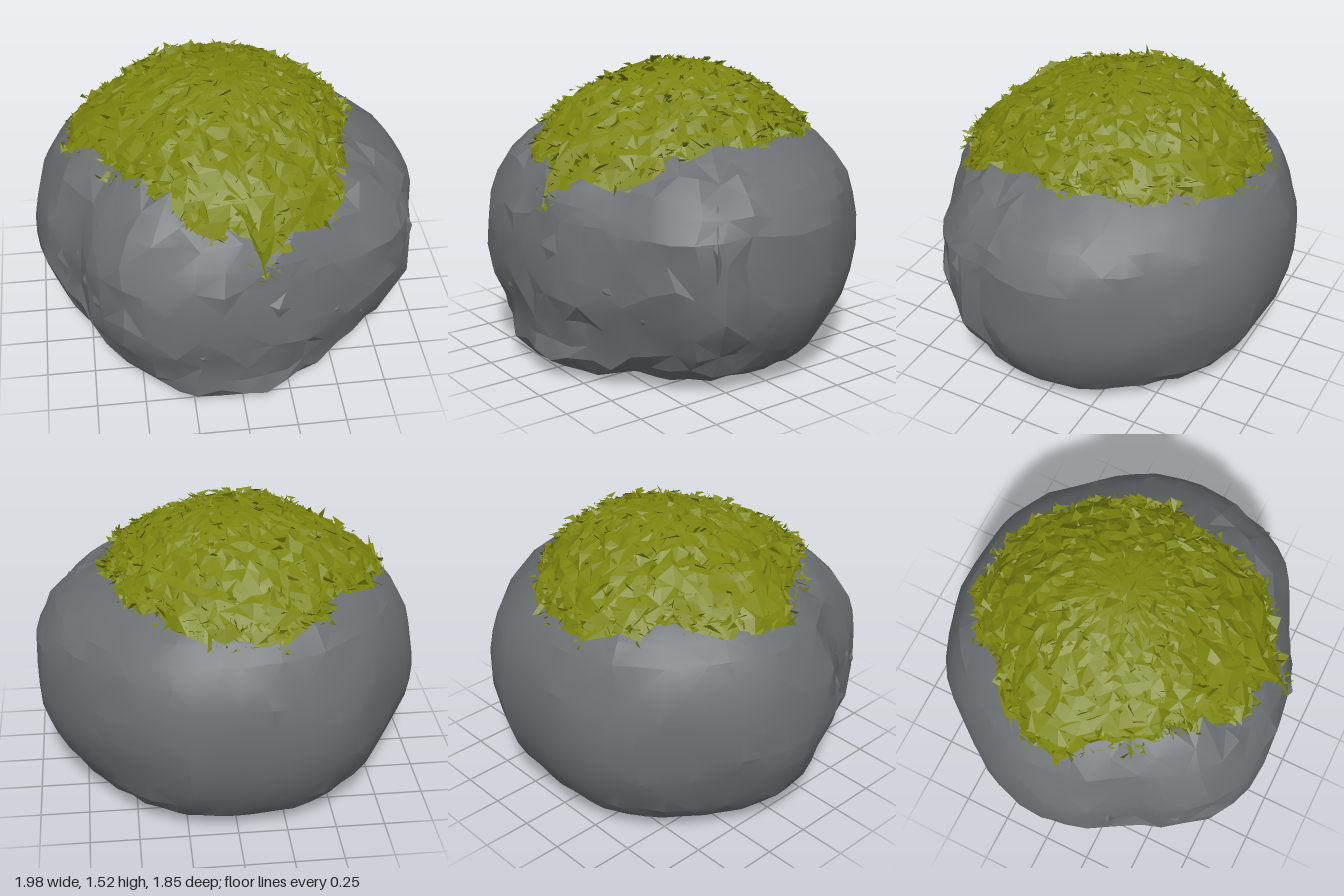
import * as THREE from 'three';
import { toCreasedNormals } from 'three/addons/utils/BufferGeometryUtils.js';

const TAU = Math.PI * 2;

// Plan outlines as x, z pairs
const ROCK_PLAN = [[1, .05], [.97, .2], [.92, .28], [.92, .42], [.85, .5], [.7, .63], [.55, .7], [.4, .8], [.27, .87], [0, .91],
  [-.2, .92], [-.48, .87], [-.63, .77], [-.75, .6], [-.8, .42], [-.83, .38], [-.9, .33], [-.97, .2], [-1, 0], [-.99, -.15],
  [-.83, -.48], [-.6, -.75], [-.45, -.85], [.05, -.92], [.3, -.9], [.42, -.85], [.68, -.65], [.82, -.48], [.93, -.3], [.99, -.1]];
const MOSS_PLAN = [[.57, .15], [.53, .4], [.5, .55], [.36, .68], [.2, .73], [.16, .82], [.08, .87], [.02, .84], [0, .75], [-.2, .76],
  [-.3, .65], [-.45, .5], [-.6, .38], [-.66, .2], [-.81, .05], [-.77, -.2], [-.7, -.32], [-.5, -.45], [-.45, -.6],
  [-.3, -.7], [-.2, -.78], [0, -.76], [.25, -.68], [.38, -.55], [.55, -.35], [.58, -.15], [.64, -.05]];
// Rock profile: height, fraction of the plan radius
const PROFILE = [[.025, 0], [.02, .3], [0, .6], [.05, .72], [.12, .81], [.22, .89], [.33, .945], [.45, .985], [.57, 1], [.7, 1],
  [.82, .98], [.92, .94], [1.02, .875], [1.1, .79], [1.17, .68], [1.25, .54], [1.34, .36], [1.4, .18], [1.42, 0]];
const CROWN_SHIFT = .07; // the crown leans back by this much
const CROWN_TILT = .05; // and slopes down towards +x

function seeded(seed) {
  return () => {
    seed = (seed * 1664525 + 1013904223) % 4294967296;
    return seed / 4294967296;
  };
}

function lookup(table, v) {
  for (let i = 1; i < table.length; i++) {
    if (v <= table[i][0]) {
      const [a, p] = table[i - 1], [b, q] = table[i];
      return p + (q - p) * (v - a) / (b - a || 1);
    }
  }
  return table[table.length - 1][1];
}

// Polar radius of a plan outline as a function of angle
function polar(plan) {
  const pts = plan.map(([x, z]) => [(Math.atan2(z, x) + TAU) % TAU, Math.hypot(x, z)]).sort((a, b) => a[0] - b[0]);
  const first = pts[0], last = pts[pts.length - 1];
  const ring = [[last[0] - TAU, last[1]], ...pts, [first[0] + TAU, first[1]]];
  return (angle) => lookup(ring, ((angle % TAU) + TAU) % TAU);
}

const rockRadius = polar(ROCK_PLAN);
const mossRadius = polar(MOSS_PLAN);
const TOP = PROFILE.slice(9).map(([y, f]) => [f, y]).reverse();
const tilt = (x, y) => -CROWN_TILT * x * THREE.MathUtils.smoothstep(y, .8, 1.15);

// Height of the boulder's crown above a plan position
function rockTop(x, z) {
  const f = Math.hypot(x, z) / rockRadius(Math.atan2(z, x));
  const zc = z + CROWN_SHIFT * Math.max(0, 1 - f);
  const y = lookup(TOP, Math.min(1, Math.hypot(x, zc) / rockRadius(Math.atan2(zc, x))));
  return y + tilt(x, y);
}

function gridGeometry(rows, cols, point, outward) {
  const pos = [], index = [];
  for (let j = 0; j < rows; j++) for (let i = 0; i < cols; i++) pos.push(...point(i, j));
  for (let j = 0; j < rows - 1; j++) for (let i = 0; i < cols; i++) {
    const k = (i + 1) % cols;
    const a = j * cols + i, b = j * cols + k, c = a + cols, d = b + cols;
    const faces = (i + j) % 2 ? [a, c, b, b, c, d] : [a, c, d, a, d, b];
    index.push(...(outward ? faces : faces.reverse()));
  }
  const g = new THREE.BufferGeometry();
  g.setAttribute('position', new THREE.Float32BufferAttribute(pos, 3));
  g.setIndex(index);
  return g;
}

function triangles(pos) {
  const g = new THREE.BufferGeometry();
  g.setAttribute('position', new THREE.Float32BufferAttribute(pos, 3));
  g.computeVertexNormals();
  return g;
}

// Shave flat facets off a geometry with planes spread around it
function cutFacets(g, count, depth, rand) {
  const p = g.attributes.position, v = new THREE.Vector3(), n = new THREE.Vector3();
  for (let k = 0; k < count; k++) {
    const t = (k + rand()) * 2.4, up = rand() * 1.3 - .65;
    n.set(Math.cos(t), up, Math.sin(t)).normalize();
    let reach = -Infinity;
    for (let i = 0; i < p.count; i++) reach = Math.max(reach, v.fromBufferAttribute(p, i).dot(n));
    for (let i = 0; i < p.count; i++) {
      v.fromBufferAttribute(p, i);
      const over = v.dot(n) - (reach - depth);
      if (over <= 0) continue;
      v.addScaledVector(n, -over);
      p.setXYZ(i, v.x, Math.max(0, v.y), v.z);
    }
  }
}

// Boulder: plan outline lofted through the profile, craggy towards the front
function rockGeometry() {
  const rand = seeded(7), cols = 48;
  const g = gridGeometry(PROFILE.length, cols, (i, j) => {
    const [y, f] = PROFILE[j];
    if (f === 0) return [0, y, j ? -CROWN_SHIFT : 0];
    let t = i / cols * TAU;
    const front = Math.max(0, Math.sin(t));
    const side = j > 2 && j < 15 ? 1 : 0;
    t += (rand() - .5) * .05 * side;
    let r = rockRadius(t) * f;
    // Heavy lower lip at the middle of the front
    const low = Math.exp(-Math.pow((y - .1) / .12, 2));
    r += .15 * side * low * Math.pow(front, 4) * rockRadius(t);
    const rough = (front > .25 ? .045 : .008) * side * (y < 1 ? 1 : .3);
    r -= (rand() - .4) * rough;
    const lift = (rand() - .5) * (front > .25 ? .05 : .02) * side;
    const lean = y > .7 ? CROWN_SHIFT * (1 - f) : 0;
    const x = Math.cos(t) * r;
    return [x, Math.max(0, y + lift + tilt(x, y)), Math.sin(t) * r - lean];
  }, true);
  cutFacets(g, 26, .018, rand);
  return toCreasedNormals(g, .32);
}

// Flat flakes of stone: broad ones on the front, upright ones at the corners
function flakeGeometry() {
  const rand = seeded(23), pos = [];
  const profile = PROFILE.slice(2, 14).map(([y, f]) => [y, f]);
  const at = (t, y, out) => {
    const r = rockRadius(t) * lookup(profile, y) + out;
    return [Math.cos(t) * r, y, Math.sin(t) * r];
  };
  const flake = (t, y, w, h) => {
    const peak = at(t + w * .4, y + h * .2, .005);
    const rim = [at(t - w, y - h * .3, -.035), at(t + w * .3, y - h, -.035), at(t + w, y + h * .4, -.035), at(t - w * .2, y + h, -.035)];
    rim.forEach((p, k) => pos.push(...peak, ...rim[(k + 1) % 4], ...p));
  };
  for (let i = 0; i < 9; i++) flake(.75 + i * .2, .28 + rand() * .45, .13 + rand() * .07, .1 + rand() * .07);
  for (const [t, y] of [[2.5, .65], [2.62, .72], [2.76, .62], [.42, .72]]) flake(t, y, .05, .26);
  return triangles(pos);
}

function mossPoint(t, s) {
  const r = s * mossRadius(t);
  const x = Math.cos(t) * r, z = Math.sin(t) * r;
  return [x, rockTop(x, z) + .075 * (1 - Math.pow(s, 8)) - .005 * s, z];
}

// Moss blanket: rumpled cap following the boulder's crown
function mossGeometry() {
  const rand = seeded(41), rows = 17, cols = 60;
  const g = gridGeometry(rows, cols, (i, j) => {
    const s = j / (rows - 1);
    const loose = Math.min(1, s * s * 4);
    const p = mossPoint(i / cols * TAU + (rand() - .5) * .05 * loose, s);
    return p.map((c) => c + (rand() - .5) * .03 * loose);
  }, false).toNonIndexed();
  g.computeVertexNormals();
  return g;
}

// Moss tufts: little upward-facing leaves on the blanket, thicker at its rim
function tuftGeometry() {
  const rand = seeded(97), pos = [];
  for (let i = 0; i < 1400; i++) {
    const s = i % 3 ? Math.sqrt(rand()) : .9 + rand() * .1;
    const c = mossPoint(rand() * TAU, s);
    const size = .05 + rand() * .06;
    const [p, q, r] = [0, 1, 2].map(() => c.map((v, k) => v + (rand() - .5) * size * (k === 1 ? .7 : 1)));
    const up = (q[2] - p[2]) * (r[0] - p[0]) - (q[0] - p[0]) * (r[2] - p[2]);
    pos.push(...p, ...(up > 0 ? q : r), ...(up > 0 ? r : q));
  }
  return triangles(pos);
}

export function createModel() {
  const stone = new THREE.MeshStandardMaterial({ color: 0x6c7072 });
  stone.name = 'stone grey';
  const green = new THREE.MeshStandardMaterial({ color: 0x7b840e, side: THREE.DoubleSide });
  green.name = 'moss green';

  const model = new THREE.Group();
  model.name = 'mossyBoulder';
  const add = (name, geometry, material) => {
    const mesh = new THREE.Mesh(geometry, material);
    mesh.name = name;
    model.add(mesh);
  };
  add('boulder', rockGeometry(), stone);
  add('stoneFlakes', flakeGeometry(), stone);
  add('mossBlanket', mossGeometry(), green);
  add('mossTufts', tuftGeometry(), green);
  return model;
}
